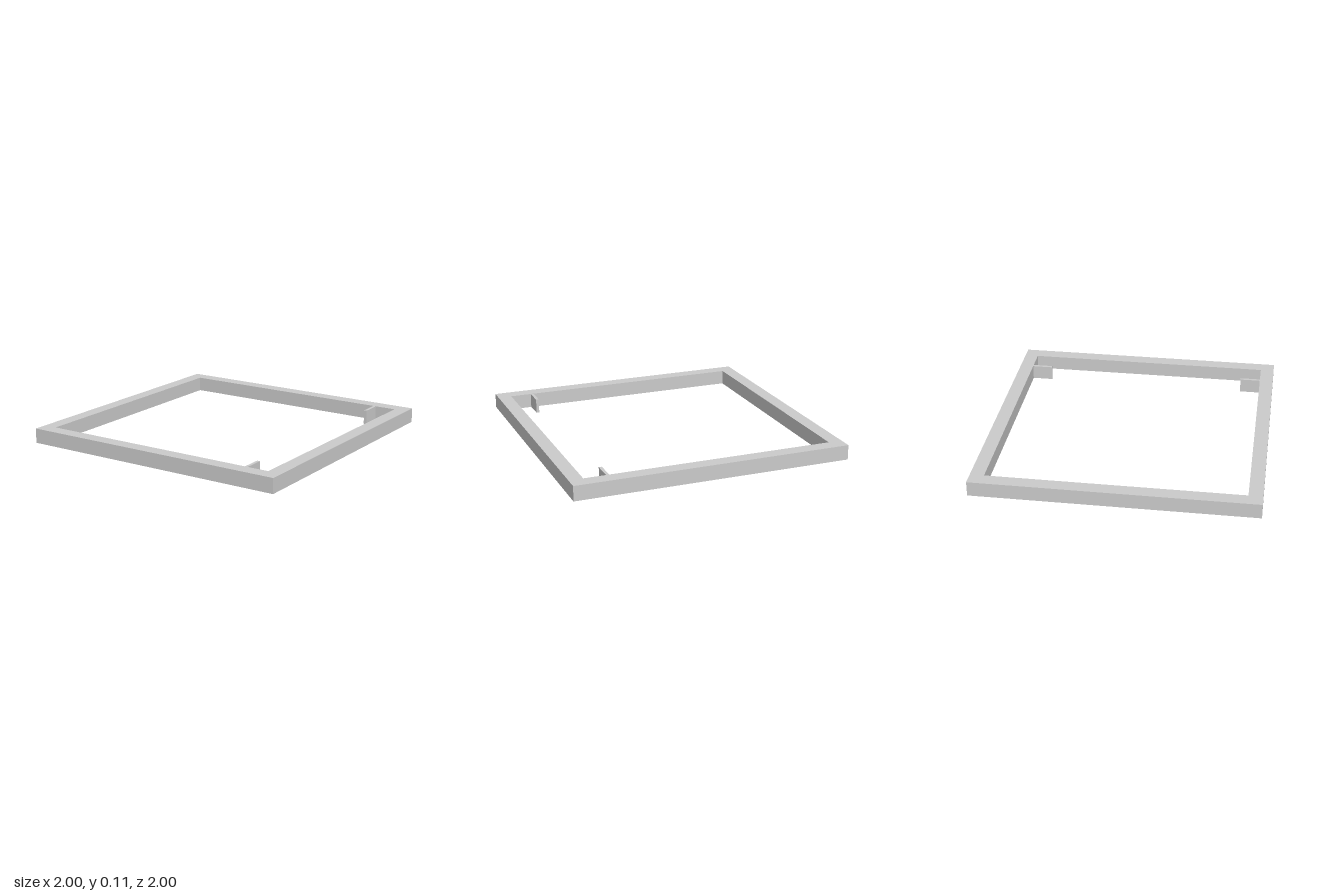
import * as THREE from 'three';

const HEIGHT = 0.107;
const OUTER = 1;
const INNER = 0.9;

export function createModel() {
  const group = new THREE.Group();
  group.name = 'squareFrame';
  const material = new THREE.MeshStandardMaterial({ color: 0xcccccc, flatShading: true });

  // One mitred rail: a trapezoid with 45 degree ends, extruded upward
  const outline = new THREE.Shape([
    new THREE.Vector2(-OUTER, -OUTER),
    new THREE.Vector2(OUTER, -OUTER),
    new THREE.Vector2(INNER, -INNER),
    new THREE.Vector2(-INNER, -INNER),
  ]);
  const railGeometry = new THREE.ExtrudeGeometry(outline, { depth: HEIGHT, bevelEnabled: false });
  railGeometry.rotateX(-Math.PI / 2);

  // Four rails around the square
  ['frontRail', 'leftRail', 'backRail', 'rightRail'].forEach((name, i) => {
    const rail = new THREE.Mesh(railGeometry, material);
    rail.name = name;
    rail.rotation.y = (i * Math.PI) / 2;
    group.add(rail);
  });

  // Thin tabs reaching inward from the front and back rails
  const tabLength = 0.15;
  const tabGeometry = new THREE.BoxGeometry(0.022, HEIGHT - 0.002, tabLength);
  for (const [name, side] of [['frontTab', 1], ['backTab', -1]]) {
    const tab = new THREE.Mesh(tabGeometry, material);
    tab.name = name;
    tab.position.set(0.732, HEIGHT / 2, side * (INNER - tabLength / 2));
    group.add(tab);
  }

  return group;
}
